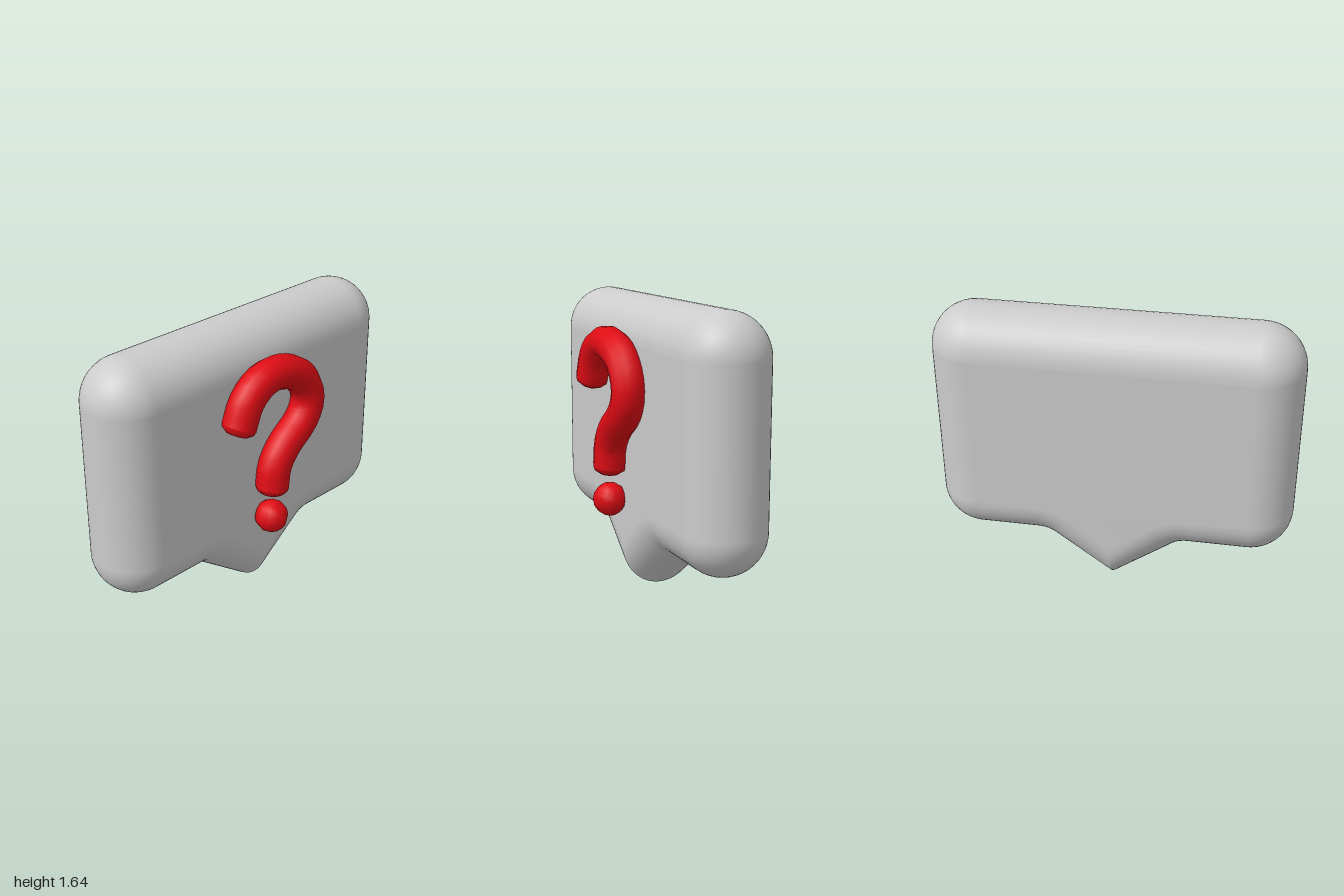
import * as THREE from 'three';

const DEPTH_R = 0.235;   // half thickness of the bubble, fully rounded edge
const BODY_Z = -0.08;
const MARK_Z = 0.222;
const MARK_R = 0.095;

// Outline of the bubble as pairs of outer (silhouette) and inner (flat face) points
function bubbleOutline() {
  const half = [];
  const bottom = 0.275, top = 1.64, cornerR = 0.24, tipR = 0.02, filletR = 0.12;
  const a = Math.atan(0.72);

  // arc whose normal turns from angle a0 to a1
  const arc = (a0, a1, steps, place) => {
    for (let i = 0; i <= steps; i++) {
      const t = a0 + (a1 - a0) * i / steps;
      half.push(place(Math.cos(t), Math.sin(t)));
    }
  };
  const corner = (cx, cy) => (nx, ny) => ({
    outer: [cx + nx * cornerR, cy + ny * cornerR],
    inner: [cx + nx * (cornerR - DEPTH_R), cy + ny * (cornerR - DEPTH_R)],
  });

  // pointed tip
  arc(-Math.PI / 2, -Math.PI / 2 + a, 4, (nx, ny) => ({
    outer: [nx * tipR, tipR + ny * tipR],
    inner: [nx * 0.005, 0.265 + ny * 0.005],
  }));
  // concave fillet where the tail meets the body
  const fx = (bottom - tipR + tipR / Math.cos(a)) / Math.tan(a) + filletR * Math.tan(a / 2);
  const fy = bottom - filletR;
  arc(-Math.PI / 2 + a, -Math.PI / 2, 8, (nx, ny) => ({
    outer: [fx - nx * -0 - nx * filletR * -1 - 2 * nx * filletR, fy - ny * filletR],
    inner: [fx - nx * (filletR + DEPTH_R), fy - ny * (filletR + DEPTH_R)],
  }));
  // rounded corners
  arc(-Math.PI / 2, 0, 14, corner(1 - cornerR, bottom + cornerR));
  arc(0, Math.PI / 2, 14, corner(1 - cornerR, top - cornerR));

  const mirrored = half.slice(1).reverse().map(({ outer, inner }) => ({
    outer: [-outer[0], outer[1]], inner: [-inner[0], inner[1]],
  }));
  return half.concat(mirrored);
}

// Stacked outline loops from back to front, closed by flat faces
function bubbleGeometry() {
  const outline = bubbleOutline(), n = outline.length, rings = 24;
  const pos = [], index = [];
  for (let k = 0; k <= rings; k++) {
    const phi = -Math.PI / 2 + Math.PI * k / rings;
    const inset = 1 - Math.cos(phi);
    for (const { outer, inner } of outline) {
      pos.push(
        THREE.MathUtils.lerp(outer[0], inner[0], inset),
        THREE.MathUtils.lerp(outer[1], inner[1], inset),
        DEPTH_R * Math.sin(phi));
    }
  }
  for (let k = 0; k < rings; k++) {
    for (let i = 0; i < n; i++) {
      const j = (i + 1) % n, p = k * n, q = p + n;
      index.push(p + i, p + j, q + j, p + i, q + j, q + i);
    }
  }
  const face = outline.map(({ inner }) => new THREE.Vector2(inner[0], inner[1]));
  const front = rings * n;
  for (const [a, b, c] of THREE.ShapeUtils.triangulateShape(face, [])) {
    index.push(front + a, front + b, front + c, a, c, b);
  }
  const geo = new THREE.BufferGeometry();
  geo.setAttribute('position', new THREE.Float32BufferAttribute(pos, 3));
  geo.setIndex(index);
  geo.computeVertexNormals();
  return geo;
}

export function createModel() {
  const model = new THREE.Group();
  model.name = 'questionBubble';
  const grey = new THREE.MeshStandardMaterial({ color: 0xcccccc });
  const red = new THREE.MeshStandardMaterial({ color: 0xe00c14 });
  const add = (name, geo, mat, parent = model) => {
    const mesh = new THREE.Mesh(geo, mat);
    mesh.name = name;
    parent.add(mesh);
    return mesh;
  };

  // speech bubble
  add('speechBubble', bubbleGeometry(), grey).position.z = BODY_Z;

  // question mark: hooked tube with bevelled ends and a dot
  const mark = new THREE.Group();
  mark.name = 'questionMark';
  mark.position.z = MARK_Z;
  model.add(mark);

  const path = new THREE.CatmullRomCurve3([
    [-0.275, 1.175], [-0.22, 1.3], [-0.13, 1.375], [-0.01, 1.397], [0.15, 1.345],
    [0.24, 1.235], [0.25, 1.14], [0.2, 1.045], [0.07, 0.94], [0.0, 0.84], [-0.02, 0.715],
  ].map(([x, y]) => new THREE.Vector3(x, y, 0)));
  add('hook', new THREE.TubeGeometry(path, 28, MARK_R, 10), red, mark);

  const capProfile = [[MARK_R, 0], [0.088, 0.02], [0.062, 0.04], [0, 0.042]]
    .map(([x, y]) => new THREE.Vector2(x, y));
  const up = new THREE.Vector3(0, 1, 0);
  for (const [name, t, sign] of [['hookStartCap', 0, -1], ['hookEndCap', 1, 1]]) {
    const cap = add(name, new THREE.LatheGeometry(capProfile, 10), red, mark);
    cap.position.copy(path.getPoint(t));
    cap.quaternion.setFromUnitVectors(up, path.getTangent(t).multiplyScalar(sign));
  }

  add('dot', new THREE.SphereGeometry(MARK_R, 10, 8), red, mark).position.set(-0.02, 0.522, 0);

  return model;
}
